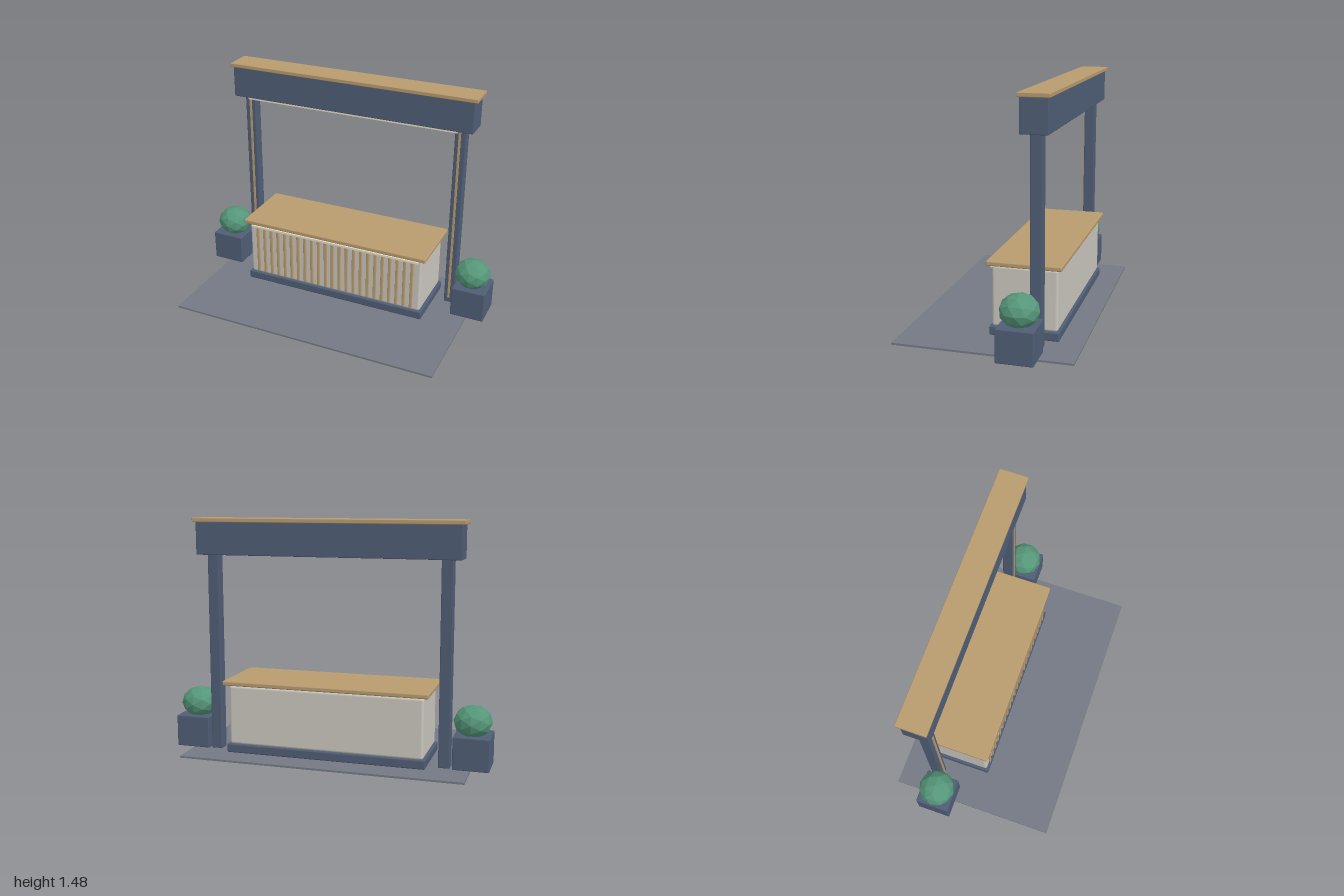
import * as THREE from 'three';
import { RoundedBoxGeometry } from 'three/addons/geometries/RoundedBoxGeometry.js';

function material(name, color, flatShading = false) {
  const m = new THREE.MeshStandardMaterial({ color, flatShading });
  m.name = name;
  return m;
}

export function createModel() {
  const navy = material('slate blue paint', 0x4f5d75);
  const wood = material('light wood', 0xb89a6e);
  const cream = material('cream panel', 0xc9c6bd);
  const glow = material('warm light', 0xe8dfc8);
  const paving = material('grey floor', 0x747983);
  const leaf = material('leaf green', 0x559679, true);

  const model = new THREE.Group();
  model.name = 'serviceCounter';

  // Box given by its limits on each axis; radius 0 keeps the edges sharp
  function box(name, mat, [x0, x1], [y0, y1], [z0, z1], radius = 0, parent = model) {
    const size = [x1 - x0, y1 - y0, z1 - z0];
    const geometry = radius
      ? new RoundedBoxGeometry(...size, 3, radius)
      : new THREE.BoxGeometry(...size);
    const mesh = new THREE.Mesh(geometry, mat);
    mesh.position.set((x0 + x1) / 2, (y0 + y1) / 2, (z0 + z1) / 2);
    mesh.name = name;
    parent.add(mesh);
    return mesh;
  }
  const around = (c, width) => [c - width / 2, c + width / 2];

  // Floor slab
  box('floor', paving, [-0.885, 0.885], [0, 0.012], [-0.54, 0.54]);

  // Counter: plinth, body, worktop and light strip below its front edge
  const counter = new THREE.Group();
  counter.name = 'counter';
  model.add(counter);
  box('plinth', navy, [-0.63, 0.63], [0.016, 0.072], [-0.396, 0.027], 0.008, counter);
  box('counterBody', cream, [-0.615, 0.615], [0.068, 0.442], [-0.383, 0.014], 0.016, counter);
  box('worktop', wood, [-0.647, 0.647], [0.446, 0.475], [-0.411, 0.041], 0.008, counter);
  box('worktopSupport', cream, [-0.59, 0.59], [0.44, 0.448], [-0.36, -0.01], 0, counter);
  box('counterLight', glow, [-0.597, 0.597], [0.423, 0.436], [0.012, 0.03], 0, counter);

  // Vertical slats across the front
  const slatCount = 23;
  for (let i = 0; i < slatCount; i++) {
    const x = (i - (slatCount - 1) / 2) * 0.0505;
    box('slat', wood, around(x, 0.018), [0.087, 0.421], [0.01, 0.026], 0.003, counter);
  }

  // Overhead beam with wooden cap and light strip
  box('beam', navy, [-0.82, 0.82], [1.25, 1.452], [-0.371, -0.209], 0.005);
  box('beamCap', wood, [-0.838, 0.838], [1.45, 1.475], [-0.384, -0.201], 0.004);
  box('beamLight', glow, [-0.72, 0.72], [1.24, 1.252], [-0.24, -0.212]);

  for (const side of [-1, 1]) {
    // Post with wooden inlay strip
    box('post', navy, around(side * 0.73, 0.07), [0.014, 1.252], [-0.326, -0.256], 0.005);
    box('postTrim', wood, around(side * 0.727, 0.014), [0.05, 1.25], [-0.26, -0.249]);

    // Planter with a faceted shrub
    box('planter', navy, around(side * 0.89, 0.22), [0.014, 0.214], [-0.341, -0.121], 0.006);
    const shrub = new THREE.Mesh(new THREE.IcosahedronGeometry(0.117, 1), leaf);
    shrub.name = 'shrub';
    shrub.scale.y = 0.85;
    shrub.position.set(side * 0.885, 0.289, -0.231);
    model.add(shrub);
  }

  return model;
}
